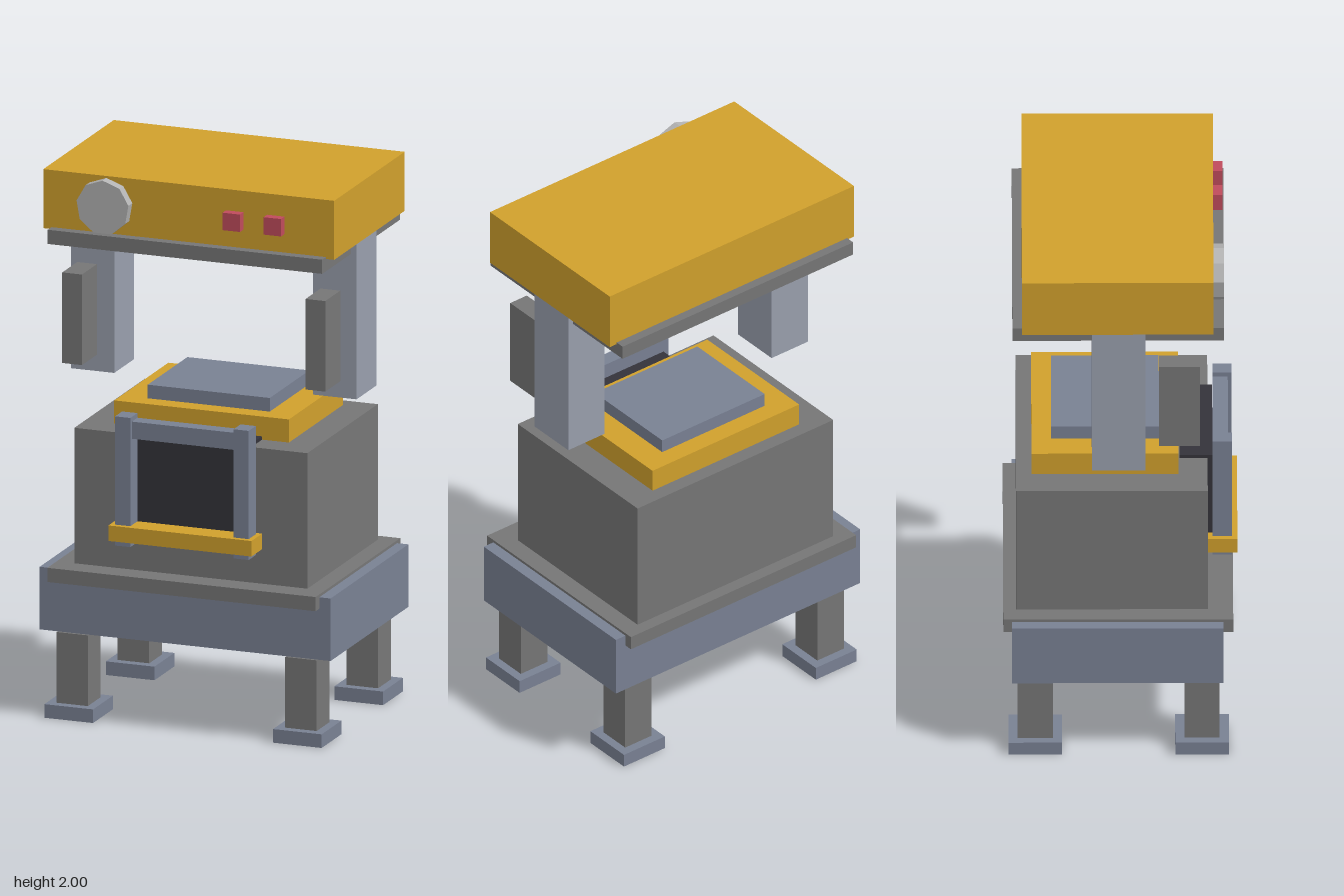
import * as THREE from 'three';

const paint = (color) => new THREE.MeshStandardMaterial({ color, flatShading: true });

export function createModel() {
  const model = new THREE.Group();
  model.name = 'machine';
  const yellow = paint(0xd0a02c), slate = paint(0x798193), pale = paint(0x999fad);
  const grey = paint(0x767676), dark = paint(0x34333a), red = paint(0xbf4b5c), silver = paint(0xb3b3b3);

  // Box from its lower and upper limits on each axis
  function box(name, material, [x0, x1], [y0, y1], [z0, z1]) {
    const mesh = new THREE.Mesh(new THREE.BoxGeometry(x1 - x0, y1 - y0, z1 - z0), material);
    mesh.position.set((x0 + x1) / 2, (y0 + y1) / 2, (z0 + z1) / 2);
    mesh.name = name;
    model.add(mesh);
  }
  // Box centred on x
  const centred = (name, material, halfWidth, y, z) => box(name, material, [-halfWidth, halfWidth], y, z);
  // Matching boxes on the left and the right
  function pair(name, material, [x0, x1], y, z) {
    box(name + 'Left', material, [x0, x1], y, z);
    box(name + 'Right', material, [-x1, -x0], y, z);
  }

  // Legs and feet
  for (const [end, z] of [['Front', 0.29], ['Back', -0.3]]) {
    pair('foot' + end, slate, [0.342, 0.527], [0, 0.05], [z - 0.095, z + 0.095]);
    pair('leg' + end, grey, [0.375, 0.495], [0.05, 0.31], [z - 0.062, z + 0.062]);
  }

  // Base and body
  centred('base', slate, 0.553, [0.317, 0.547], [-0.382, 0.365]);
  centred('basePlate', grey, 0.51, [0.505, 0.557], [-0.413, 0.4]);
  centred('body', grey, 0.443, [0.55, 1.055], [-0.367, 0.31]);
  centred('bodyLid', yellow, 0.332, [1.055, 1.14], [-0.313, 0.207]);
  centred('lidPanel', slate, 0.232, [1.14, 1.19], [-0.243, 0.138]);

  // Front opening with its frame and shelf
  centred('opening', dark, 0.23, [0.71, 1.068], [0.21, 0.327]);
  pair('framePost', slate, [0.196, 0.254], [0.665, 1.14], [0.328, 0.396]);
  centred('frameBar', slate, 0.2, [1.06, 1.123], [0.328, 0.382]);
  centred('shelf', yellow, 0.272, [0.685, 0.742], [0.312, 0.415]);

  // Hanging pillars and side grips
  pair('pillar', pale, [0.378, 0.543], [1.205, 1.78], [-0.1, 0.09]);
  pair('grip', grey, [0.425, 0.5], [1.28, 1.613], [0.138, 0.282]);

  // Canopy
  centred('canopyPlate', grey, 0.522, [1.738, 1.79], [-0.381, 0.367]);
  centred('canopy', yellow, 0.553, [1.783, 2], [-0.347, 0.33]);

  // Dial and buttons on the canopy front
  const dial = new THREE.Mesh(new THREE.CylinderGeometry(0.1, 0.1, 0.05, 9), silver);
  dial.rotation.x = -Math.PI / 2;
  dial.position.set(-0.313, 1.893, 0.343);
  dial.name = 'dial';
  model.add(dial);
  [0.175, 0.331].forEach((x, i) =>
    box('button' + (i + 1), red, [x - 0.033, x + 0.033], [1.858, 1.922], [0.32, 0.364]));

  return model;
}
